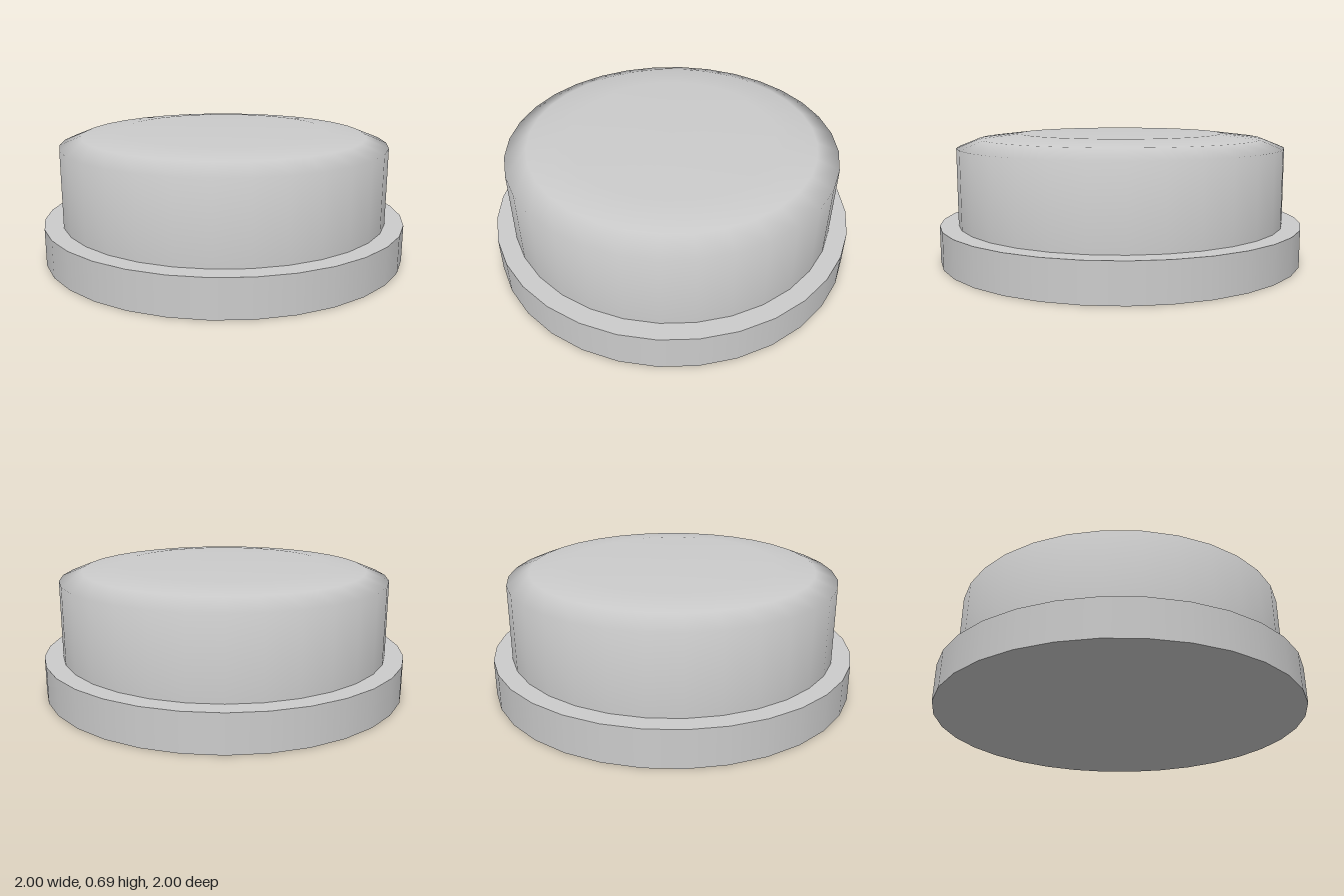
import * as THREE from 'three';

const SEGMENTS = 32;

export function createModel() {
  const group = new THREE.Group();
  const material = new THREE.MeshStandardMaterial({ color: 0xcccccc });

  // Wide flat flange at the bottom
  const flange = new THREE.Mesh(new THREE.CylinderGeometry(1, 1, 0.2, SEGMENTS), material);
  flange.name = 'flange';
  flange.position.y = 0.1;
  group.add(flange);

  // Button cap: straight wall, softly rounded shoulder and nearly flat top
  const profile = [
    [0.9, 0.2], [0.9, 0.615], [0.78, 0.663], [0.56, 0.688], [0, 0.692],
  ].map(([r, y]) => new THREE.Vector2(r, y));
  const cap = new THREE.Mesh(new THREE.LatheGeometry(profile, SEGMENTS), material);
  cap.name = 'buttonCap';
  group.add(cap);

  return group;
}
